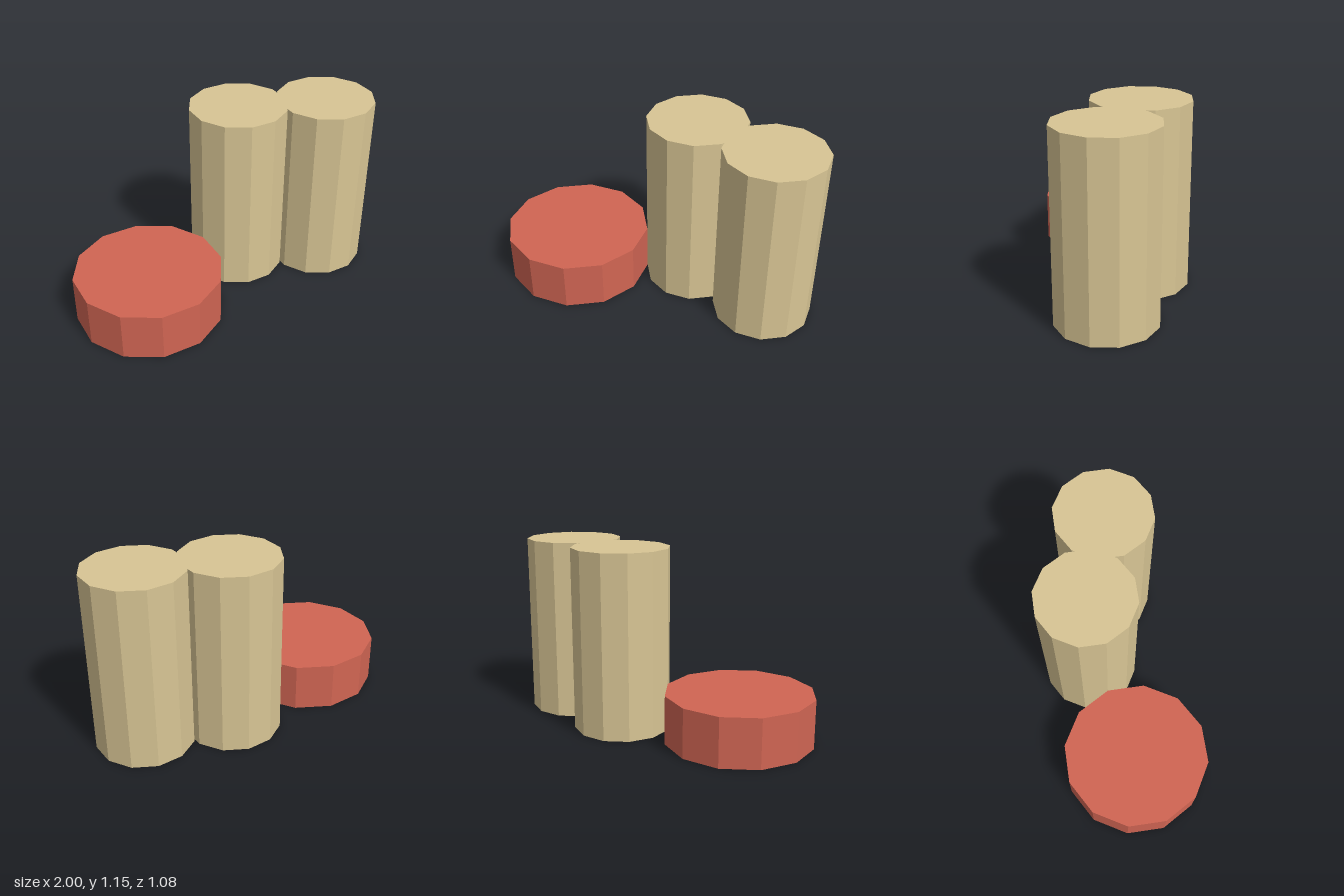
import * as THREE from 'three';

const U = 2 / 13; // base unit: the whole model is 13 units wide

export function createModel() {
  const model = new THREE.Group();
  const tan = new THREE.MeshStandardMaterial({ color: 0xd8c594, flatShading: true });
  const red = new THREE.MeshStandardMaterial({ color: 0xd06553, flatShading: true });

  // Twelve-sided drum standing on the ground
  function addDrum(name, material, radius, height, x, z) {
    const drum = new THREE.Mesh(new THREE.CylinderGeometry(radius * U, radius * U, height * U, 12), material);
    drum.name = name;
    drum.position.set(x * U, height * U / 2, z * U);
    model.add(drum);
  }

  // Low wide disc on the right, two tall overlapping columns on the left
  addDrum('lowDisc', red, 3, 2, -3.5, -0.5);
  addDrum('backColumn', tan, 2, 7.5, 1.5, -0.5);
  addDrum('frontColumn', tan, 2, 7.5, 4.5, 1.5);

  return model;
}
